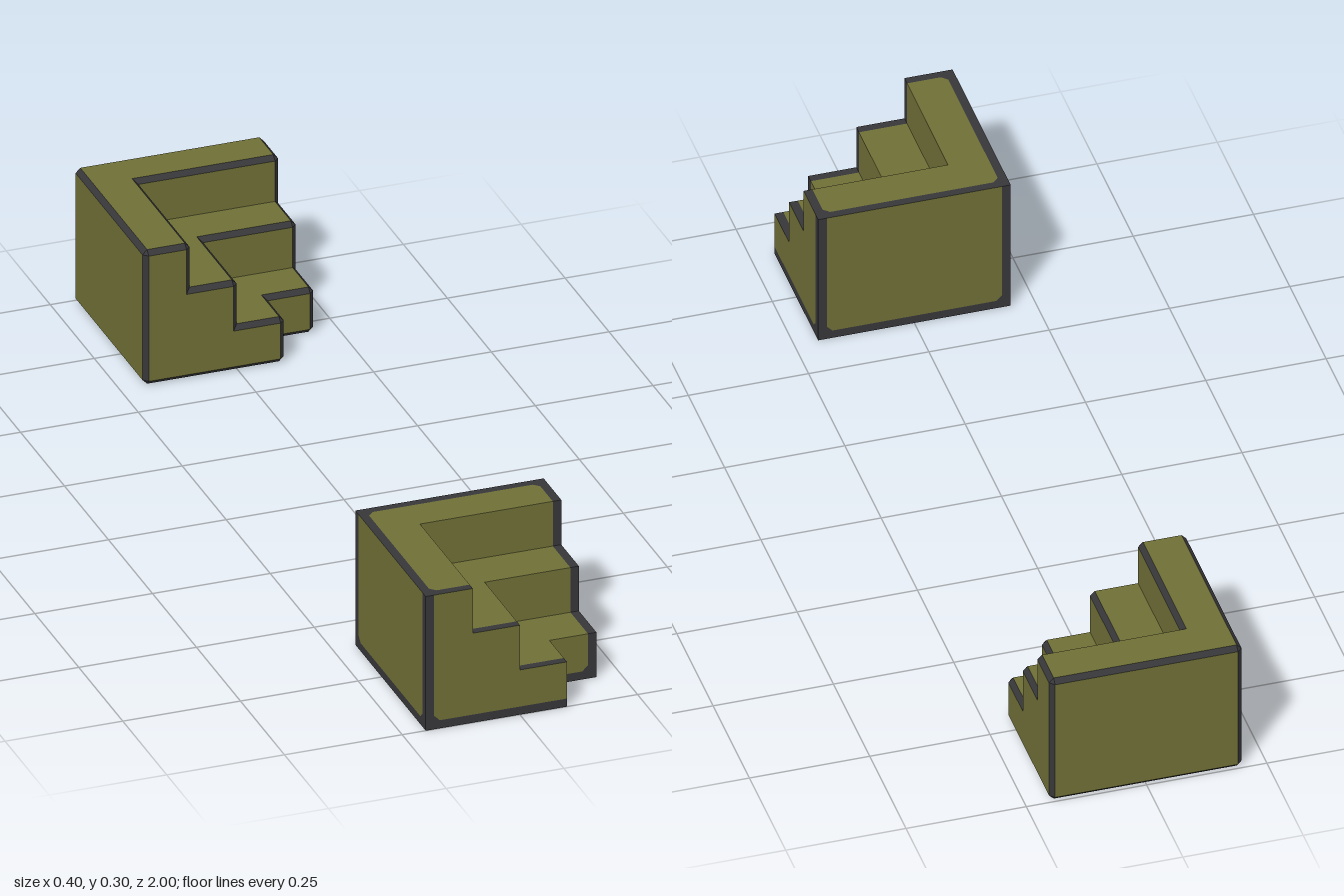
import * as THREE from 'three';

const H = 0.2;                    // half width of a block
const NOTCH = [0.1, 0, -0.1];     // inner corner of each tier, bottom to top
const RISE = 0.1;
const BEVEL = 0.01;
const BORDER = 0.018;

const olive = new THREE.MeshStandardMaterial({ color: 0x6f6f37 });
olive.name = 'olive';
const charcoal = new THREE.MeshStandardMaterial({ color: 0x37373a });
charcoal.name = 'charcoal';

const AXES = ['x', 'y', 'z'];
const V = (x, y, z) => new THREE.Vector3(x, y, z);

// A face is an outward-wound loop of corners with an axis normal
function face(pts, n) {
  const area = V(0, 0, 0);
  pts.forEach((p, i) => area.add(p.clone().cross(pts[(i + 1) % pts.length])));
  if (area.dot(n) < 0) pts.reverse();
  return { pts, n };
}

// All flat faces of a three-tier inner corner stair
function stairFaces() {
  const faces = [];
  const level = (pts, y, up) => faces.push(face(pts.map(([x, z]) => V(x, y, z)), V(0, up, 0)));
  const ell = (a) => [[-H, -H], [H, -H], [H, a], [a, a], [a, H], [-H, H]];
  level(ell(NOTCH[0]), 0, -1);
  level(ell(NOTCH[2]), 3 * RISE, 1);
  for (let k = 0; k < 2; k++) {
    const a = NOTCH[k], b = NOTCH[k + 1];
    level([[b, b], [H, b], [H, a], [a, a], [a, H], [b, H]], (k + 1) * RISE, 1);
  }
  // Upright faces come in pairs mirrored across the diagonal
  const pair = (pts, d, s) => {
    faces.push(face(pts.map(([u, y]) => V(u, y, d)), V(0, 0, s)));
    faces.push(face(pts.map(([u, y]) => V(d, y, u)), V(s, 0, 0)));
  };
  const profile = [[-H, 0]];
  NOTCH.forEach((a, k) => {
    const y0 = k * RISE, y1 = y0 + RISE;
    profile.push([a, y0], [a, y1]);
    pair([[a, y0], [H, y0], [H, y1], [a, y1]], a, 1);
  });
  profile.push([-H, 3 * RISE]);
  pair(profile, H, 1);
  pair([[-H, 0], [H, 0], [H, 3 * RISE], [-H, 3 * RISE]], -H, -1);
  return faces;
}

// Fill a flat loop with triangles facing along n
function fill(out, pts, n) {
  if (pts.length < 3) return;
  const [u, v] = AXES.filter((a) => Math.abs(n[a]) < 0.5);
  const flat = pts.map((p) => new THREE.Vector2(p[u], p[v]));
  for (const t of THREE.ShapeUtils.triangulateShape(flat, [])) {
    tri(out, ...t.map((i) => pts[i]), n);
  }
}

function tri(out, a, b, c, n) {
  const cross = b.clone().sub(a).cross(c.clone().sub(a));
  if (cross.length() < 1e-9) return;
  const order = cross.dot(n) < 0 ? [a, c, b] : [a, b, c];
  order.forEach((p) => out.push(p.x, p.y, p.z));
}

function mesh(name, positions, material) {
  const g = new THREE.BufferGeometry();
  g.setAttribute('position', new THREE.Float32BufferAttribute(positions, 3));
  g.computeVertexNormals();
  const m = new THREE.Mesh(g, material);
  m.name = name;
  return m;
}

// Block with charcoal chamfers on every convex edge
function beveledStair() {
  const faces = stairFaces(), panels = [], edges = [];
  const key = (p) => p.toArray().map((c) => Math.round(c * 1000)).join();
  const byEdge = new Map(), byCorner = new Map();
  for (const f of faces) {
    f.pts.forEach((p, i) => byEdge.set(key(p) + '|' + key(f.pts[(i + 1) % f.pts.length]), { f, i }));
  }
  for (const f of faces) {
    const count = f.pts.length;
    f.outs = f.pts.map((p, i) => {
      const q = f.pts[(i + 1) % count];
      f.mates = f.mates || [];
      f.mates[i] = byEdge.get(key(q) + '|' + key(p));
      const o = q.clone().sub(p).normalize().cross(f.n);
      return f.mates[i].f.n.dot(o) > 0.5 ? o : V(0, 0, 0);
    });
    f.inset = f.pts.map((p, i) => p.clone()
      .addScaledVector(f.outs[i], -BEVEL)
      .addScaledVector(f.outs[(i + count - 1) % count], -BEVEL));
    fill(panels, f.inset, f.n);
    f.pts.forEach((p, i) => {
      const k = key(p);
      if (!byCorner.has(k)) byCorner.set(k, { pts: [], n: V(0, 0, 0) });
      byCorner.get(k).pts.push(f.inset[i]);
      byCorner.get(k).n.add(f.n);
    });
  }
  // Chamfer strips, one per shared convex edge
  faces.forEach((f, fi) => f.pts.forEach((p, i) => {
    const m = f.mates[i];
    if (f.outs[i].length() < 0.5 || faces.indexOf(m.f) < fi) return;
    const P = f.inset[i], Q = f.inset[(i + 1) % f.pts.length];
    const Q2 = m.f.inset[m.i], P2 = m.f.inset[(m.i + 1) % m.f.pts.length];
    const n = f.n.clone().add(m.f.n);
    tri(edges, Q, P, P2, n);
    tri(edges, Q, P2, Q2, n);
  }));
  // Corner caps
  for (const c of byCorner.values()) tri(edges, ...c.pts, c.n);

  const g = new THREE.Group();
  g.add(mesh('stairPanels', panels, olive), mesh('chamferedEdges', edges, charcoal));
  return g;
}

// Keep the part of a loop where dist(p) <= 0
function clip(pts, dist) {
  const out = [];
  pts.forEach((p, i) => {
    const q = pts[(i + 1) % pts.length], a = dist(p), b = dist(q);
    if (a <= 0) out.push(p);
    if ((a < 0 && b > 0) || (a > 0 && b < 0)) out.push(p.clone().lerp(q, a / (a - b)));
  });
  return out;
}

// Sharp block with a flat charcoal border around its outer square
function borderedStair() {
  const panels = [], border = [], e = H - BORDER;
  const cuts = [[1, 0, e], [-1, 0, e], [0, 1, e], [0, -1, e]];
  for (const a of [-1, 1]) for (const b of [-1, 1]) cuts.push([a, b, 2 * e - 0.012]);
  for (const f of stairFaces()) {
    const [u, v] = AXES.filter((a) => Math.abs(f.n[a]) < 0.5);
    const at = (p, a) => (a === 'y' ? p.y - H : p[a]);
    let rest = f.pts;
    for (const [a, b, d] of cuts) {
      const dist = (p) => a * at(p, u) + b * at(p, v) - d;
      fill(border, clip(rest, (p) => -dist(p)), f.n);
      rest = clip(rest, dist);
    }
    fill(panels, rest, f.n);
  }
  const g = new THREE.Group();
  g.add(mesh('stairPanels', panels, olive), mesh('paintedBorder', border, charcoal));
  return g;
}

export function createModel() {
  const model = new THREE.Group();
  model.name = 'cornerStairs';
  const front = borderedStair();
  front.name = 'borderedCornerStair';
  front.position.z = 0.8;
  const back = beveledStair();
  back.name = 'beveledCornerStair';
  back.position.z = -0.8;
  model.add(front, back);
  return model;
}
